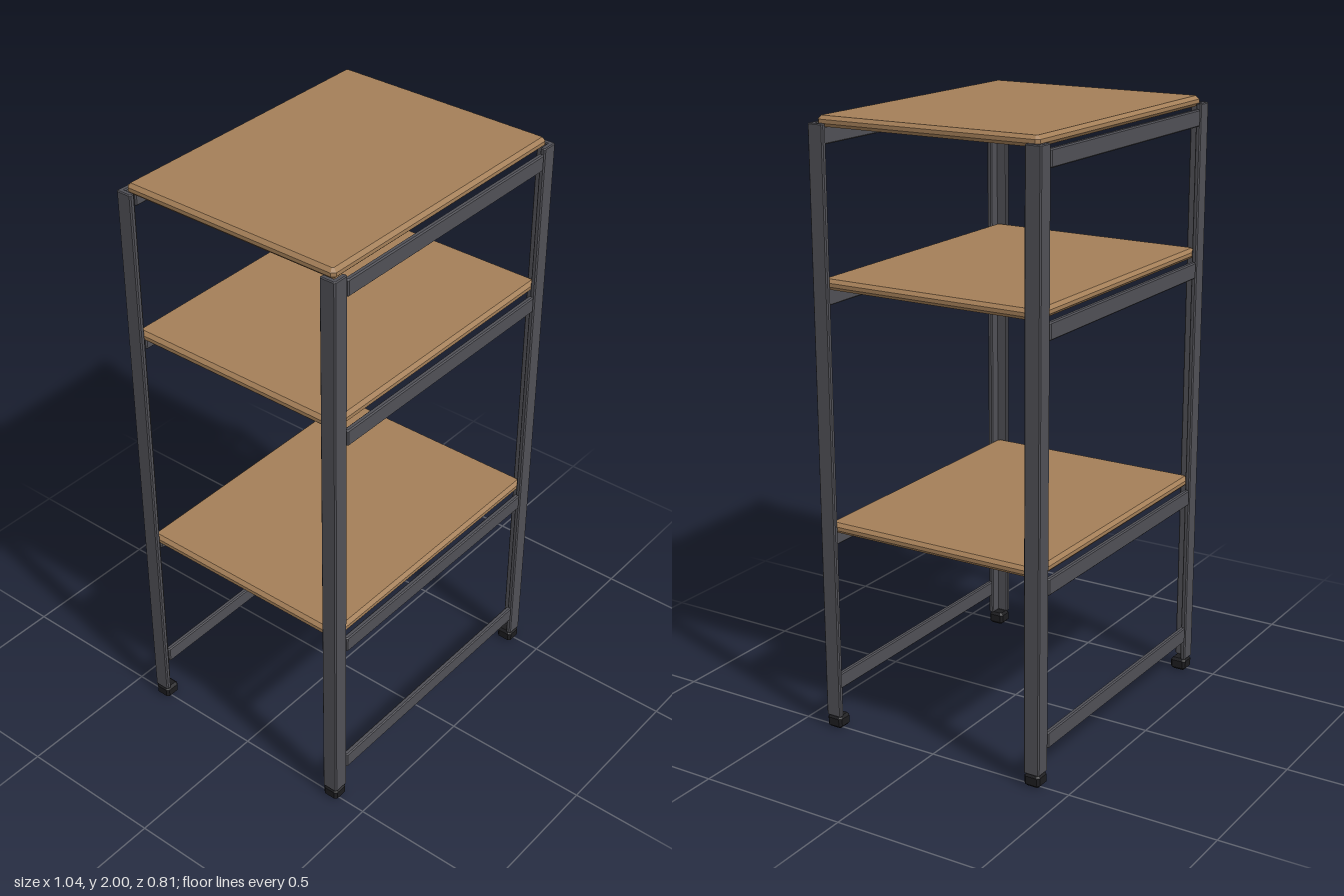
import * as THREE from 'three';

const metal = new THREE.MeshStandardMaterial({ color: 0x505056 });
metal.name = 'dark grey metal';
const wood = new THREE.MeshStandardMaterial({ color: 0xa47f58 });
wood.name = 'brown wood';
const rubber = new THREE.MeshStandardMaterial({ color: 0x1c1c1f });
rubber.name = 'black rubber';

// Upright prism from an (x, z) outline, base at y = 0, every end edge chamfered by b
function prism(points, height, b) {
  const shape = new THREE.Shape(points.map(([x, z]) => new THREE.Vector2(x, -z)));
  const geo = new THREE.ExtrudeGeometry(shape, {
    depth: height - 2 * b, bevelEnabled: true, bevelThickness: b,
    bevelSize: b, bevelOffset: -b, bevelSegments: 1,
  });
  geo.translate(0, 0, b);
  geo.rotateX(-Math.PI / 2);
  return geo;
}

// Box centred on x and z with chamfered edges and corners
function chamferBox(w, h, d, b) {
  const x = w / 2, z = d / 2;
  return prism([
    [-x + b, -z], [x - b, -z], [x, -z + b], [x, z - b],
    [x - b, z], [-x + b, z], [-x, z - b], [-x, -z + b],
  ], h, b);
}

export function createModel() {
  const model = new THREE.Group();
  model.name = 'shelfRack';
  const add = (name, geo, mat, x, y, z) => {
    const mesh = new THREE.Mesh(geo, mat);
    mesh.name = name;
    mesh.position.set(x, y, z);
    model.add(mesh);
  };

  const X = 0.521, Z = 0.405;   // outer corner of the frame
  const W = 0.055, T = 0.018;   // flange width and thickness
  const c = 0.004;              // metal edge chamfer

  // Angle-section posts with feet, flanges pointing inwards from each corner
  const footGeo = chamferBox(W, 0.042, W, 0.008);
  const angle = [
    [c, 0], [W - c, 0], [W, c], [W, T - c], [W - c, T], [T, T],
    [T, W - c], [T - c, W], [c, W], [0, W - c], [0, c],
  ];
  for (const sx of [-1, 1]) {
    for (const sz of [-1, 1]) {
      const side = (sz > 0 ? 'front' : 'back') + (sx > 0 ? 'Left' : 'Right');
      const outline = angle.map(([u, v]) => [sx * (X - u), sz * (Z - v)]);
      add(side + 'Post', prism(outline, 1.936, 0.003), metal, 0, 0.042, 0);
      add(side + 'Foot', footGeo, rubber, sx * (X - W / 2), 0, sz * (Z - W / 2));
    }
  }

  // Flat rails between the posts, front and back
  const railGeo = chamferBox(2 * (X - W) - 0.004, 0.055, T, c);
  for (const y of [0.113, 0.62, 1.409, 1.906]) {
    add('frontRail', railGeo, metal, 0, y, Z - T / 2);
    add('backRail', railGeo, metal, 0, y, -Z + T / 2);
  }

  // Shelf boards
  const boardGeo = chamferBox(1.006, 0.034, 0.772, 0.011);
  for (const y of [0.679, 1.47, 1.966]) add('shelfBoard', boardGeo, wood, 0, y, 0);

  return model;
}
